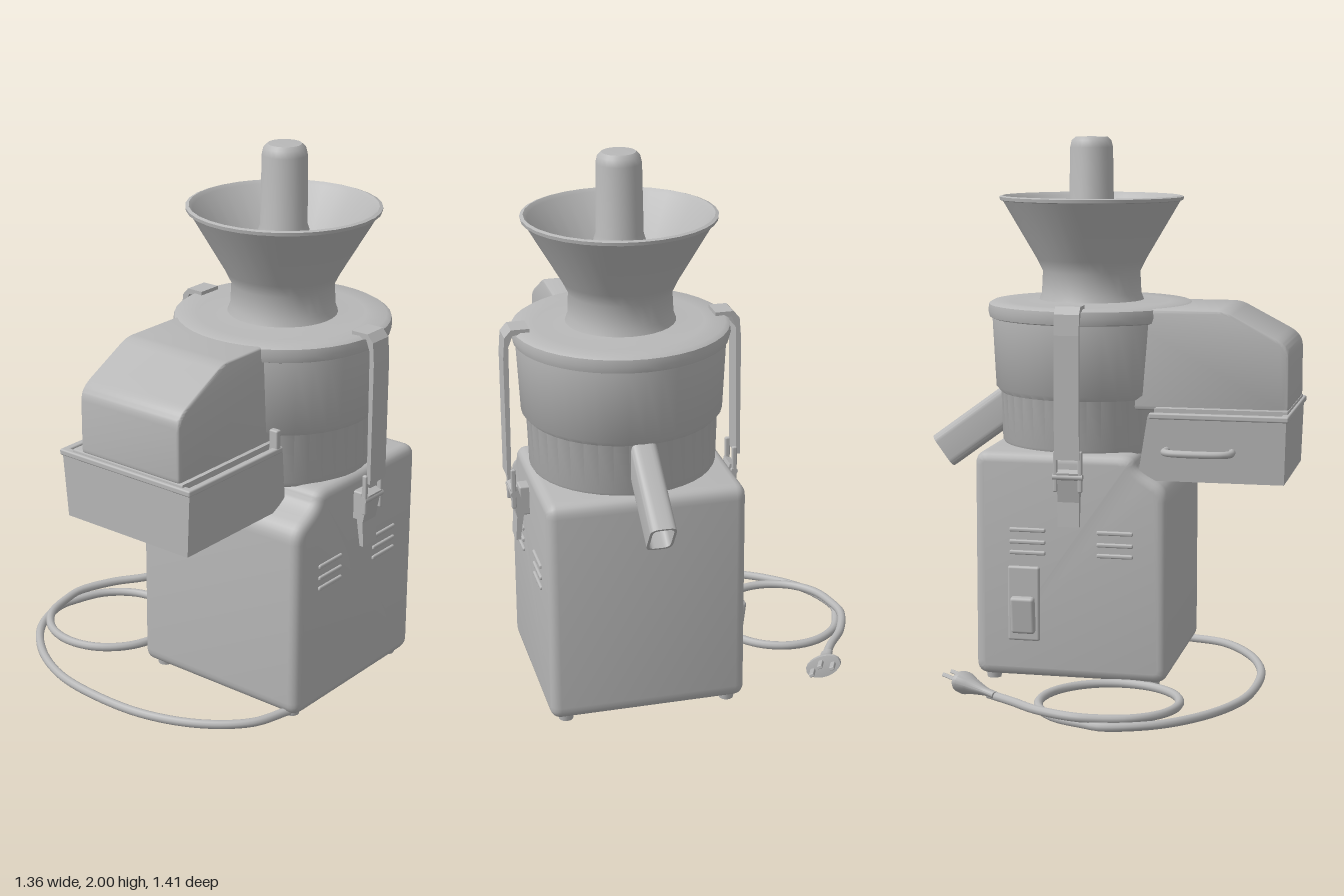
import * as THREE from 'three';
import { toCreasedNormals } from 'three/addons/utils/BufferGeometryUtils.js';
import { RoundedBoxGeometry } from 'three/addons/geometries/RoundedBoxGeometry.js';

const AX = 0.25, AZ = -0.095; // vertical axis of bowl, lid and funnel

export function createModel() {
  const root = new THREE.Group();
  root.name = 'foodProcessor';
  const grey = new THREE.MeshStandardMaterial({ color: 0xb8b8b8, side: THREE.DoubleSide });
  grey.name = 'grey metal';

  const add = (name, geo, pos = [0, 0, 0], parent = root) => {
    const mesh = new THREE.Mesh(geo, grey);
    mesh.name = name;
    mesh.position.set(...pos);
    parent.add(mesh);
    return mesh;
  };
  const box = (name, x0, x1, y0, y1, z0, z1, r = 0.006, parent = root) =>
    add(name, new RoundedBoxGeometry(x1 - x0, y1 - y0, z1 - z0, 2, r),
      [(x0 + x1) / 2, (y0 + y1) / 2, (z0 + z1) / 2], parent);
  const lathe = (name, pts, sides = 40) =>
    add(name, toCreasedNormals(new THREE.LatheGeometry(pts.map(p => new THREE.Vector2(...p)), sides), 0.7), [AX, 0, AZ]);

  // Polygon with rounded corners
  const roundedShape = (pts, r) => {
    const s = new THREE.Shape();
    const v = pts.map(p => new THREE.Vector2(...p)), n = v.length;
    v.forEach((p, i) => {
      const toward = q => p.clone().add(q.clone().sub(p).setLength(Math.min(r, q.distanceTo(p) * 0.45)));
      const a = toward(v[(i + n - 1) % n]), b = toward(v[(i + 1) % n]);
      if (i === 0) s.moveTo(a.x, a.y); else s.lineTo(a.x, a.y);
      s.quadraticCurveTo(p.x, p.y, b.x, b.y);
    });
    s.closePath();
    return s;
  };
  // Side profile given as [z, y], extruded from x0 to x1 with softened edges
  const sideExtrude = (shape, x0, x1, bevel) => {
    const g = new THREE.ExtrudeGeometry(shape, {
      depth: x1 - x0 - 2 * bevel, curveSegments: 6, bevelEnabled: bevel > 0,
      bevelThickness: bevel, bevelSize: bevel, bevelOffset: -bevel, bevelSegments: 4,
    });
    g.rotateY(-Math.PI / 2).translate(x1 - bevel, 0, 0);
    return toCreasedNormals(g, 0.6);
  };

  // Motor housing with sloped front shoulder
  add('motorHousing', sideExtrude(roundedShape(
    [[0.262, 0.02], [0.262, 0.745], [0.15, 0.805], [0.13, 0.86], [-0.457, 0.86], [-0.457, 0.02]], 0.05), -0.115, 0.6, 0.035));
  for (const x of [-0.06, 0.54]) for (const z of [-0.4, 0.2])
    add('foot', new THREE.CylinderGeometry(0.032, 0.026, 0.04, 16), [x, 0.02, z]);

  // Louvres on both flanks
  for (const x of [-0.115, 0.6]) for (const y of [0.49, 0.53, 0.575]) for (const z of [0.07, -0.257])
    box('ventLouvre', x - 0.008, x + 0.008, y - 0.008, y + 0.008, z - 0.068, z + 0.068);

  // Switch on the side
  box('switchPlate', -0.13, -0.11, 0.16, 0.44, -0.33, -0.21, 0.009);
  box('switchBox', -0.155, -0.12, 0.19, 0.33, -0.315, -0.225, 0.012).rotation.z = 0.12;

  // Bowl, lid, funnel and pusher
  lathe('bowl', [[0, 0.85], [0.325, 0.85], [0.336, 0.87], [0.342, 1.05], [0.36, 1.07], [0.373, 1.32], [0.373, 1.345]]);
  lathe('lid', [[0.365, 1.325], [0.383, 1.332], [0.389, 1.355], [0.386, 1.38], [0.37, 1.39], [0.3, 1.387], [0.19, 1.395]]);
  lathe('funnel', [[0.2, 1.385], [0.187, 1.42], [0.183, 1.5], [0.205, 1.545], [0.333, 1.763], [0.343, 1.766],
    [0.345, 1.778], [0.333, 1.782], [0.32, 1.77], [0.19, 1.545], [0.17, 1.5], [0.168, 1.42], [0, 1.42]], 32);
  lathe('pusher', [[0.155, 1.42], [0.155, 1.55], [0.14, 1.6], [0.1, 1.66], [0.084, 1.71], [0.08, 1.96],
    [0.074, 1.985], [0.06, 1.998], [0, 2]], 24);

  // Outlet hood in front
  add('outletHood', sideExtrude(roundedShape(
    [[0.05, 1.015], [0.05, 1.385], [0.45, 1.385], [0.66, 1.275], [0.685, 1.24], [0.685, 1.015]], 0.03), -0.012, 0.424, 0.012));
  add('hoodSkirt', sideExtrude(roundedShape(
    [[0.2, 1.005], [0.2, 1.03], [0.685, 1.03], [0.685, 1.005]], 0.005), -0.05, 0.44, 0));

  // Open catch tray, tapering downwards
  const tray = new THREE.BoxGeometry(0.57, 0.24, 0.5);
  const index = Array.from(tray.index.array);
  tray.setIndex([...index.slice(0, 12), ...index.slice(18)]); // leave the top open
  tray.clearGroups();
  const p = tray.attributes.position;
  for (let i = 0; i < p.count; i++) if (p.getY(i) < 0) {
    p.setX(i, p.getX(i) * 0.945);
    p.setZ(i, p.getZ(i) > 0 ? 0.243 : -0.29);
  }
  tray.computeVertexNormals();
  add('catchTray', tray, [0.186, 0.89, 0.436]);
  box('trayRimFront', -0.105, 0.478, 0.998, 1.02, 0.665, 0.695);
  box('trayRimLeft', 0.452, 0.478, 0.998, 1.02, 0.19, 0.69);
  box('trayRimRight', -0.105, -0.079, 0.998, 1.02, 0.19, 0.69);
  box('trayRimEnd', 0.44, 0.476, 1.0, 1.085, 0.2, 0.225);

  // Side handle of the tray
  const tube = (name, pts, r, segs = 48) => add(name, new THREE.TubeGeometry(
    new THREE.CatmullRomCurve3(pts.map(q => new THREE.Vector3(...q)), false, 'centripetal'), segs, r, 10, false));
  tube('trayHandle', [[-0.09, 0.885, 0.255], [-0.14, 0.885, 0.255], [-0.162, 0.885, 0.285], [-0.162, 0.885, 0.465],
    [-0.14, 0.885, 0.492], [-0.09, 0.885, 0.492]], 0.013);

  // Rear waste spout: hollow sloping channel
  const spout = roundedShape([[-0.047, -0.07], [0.047, -0.07], [0.047, 0.07], [-0.047, 0.07]], 0.03);
  spout.holes.push(roundedShape([[-0.038, -0.061], [0.038, -0.061], [0.038, 0.061], [-0.038, 0.061]], 0.024));
  const spoutMesh = add('wasteSpout', toCreasedNormals(
    new THREE.ExtrudeGeometry(spout, { depth: 0.36, bevelEnabled: false, curveSegments: 5 }), 0.6), [AX, 0.8, -0.672]);
  spoutMesh.rotation.x = -0.63;

  // Latches on both sides of the bowl
  const plate = (name, pts, width, parent) => add(name, new THREE.ExtrudeGeometry(
    new THREE.Shape(pts.map(q => new THREE.Vector2(...q))), { depth: width, bevelEnabled: false }), [0, 0, -width / 2], parent);
  for (const turn of [0, Math.PI]) {
    const latch = new THREE.Group();
    latch.name = turn ? 'rightLatch' : 'leftLatch';
    latch.position.set(AX, 0, AZ);
    latch.rotation.y = turn;
    root.add(latch);
    plate('strap', [[0.335, 1.38], [0.335, 1.402], [0.4, 1.402], [0.424, 1.375], [0.43, 1.3], [0.43, 0.85],
      [0.415, 0.85], [0.411, 1.34], [0.395, 1.382]], 0.092, latch);
    plate('lever', [[0.42, 0.8], [0.395, 0.81], [0.37, 0.72], [0.388, 0.6], [0.404, 0.6], [0.398, 0.69]], 0.08, latch);
    box('latchBracket', 0.34, 0.385, 0.69, 0.8, -0.03, 0.03, 0.006, latch);
    for (const z of [-0.046, 0.046])
      box('latchLink', 0.4, 0.418, 0.73, 0.88, z - 0.008, z + 0.008, 0.005, latch);
    const pin = add('latchPin', new THREE.CylinderGeometry(0.013, 0.013, 0.11, 12), [0.408, 0.785, 0], latch);
    pin.rotation.x = Math.PI / 2;
  }

  // Power cable with one coil on the floor
  const path = [[0.55, 0.025, 0.23], [0.5, 0.025, 0.38], [0.36, 0.022, 0.5], [0.15, 0.02, 0.575], [-0.1, 0.02, 0.583],
    [-0.28, 0.02, 0.55], [-0.46, 0.02, 0.455], [-0.6, 0.02, 0.31], [-0.66, 0.02, 0.14]];
  for (let i = 0; i <= 12; i++) {
    const a = Math.PI * (1.05 + i / 6.2);
    path.push([-0.41 + 0.238 * Math.cos(a), 0.022 + 0.022 * i / 12, 0.11 + 0.25 * Math.sin(a)]);
  }
  path.push([-0.652, 0.047, 0.03], [-0.6, 0.048, -0.11], [-0.53, 0.05, -0.21], [-0.475, 0.055, -0.31]);
  tube('powerCable', path, 0.016, 160);

  // Plug with prongs, pointing away along its own +y
  const plug = new THREE.Group();
  plug.name = 'plug';
  plug.position.set(-0.49, 0.055, -0.28);
  plug.quaternion.setFromUnitVectors(new THREE.Vector3(0, 1, 0), new THREE.Vector3(0.4, 0.16, -0.9).normalize());
  root.add(plug);
  const grip = new THREE.LatheGeometry([[0, 0], [0.024, 0], [0.024, 0.04], [0.03, 0.06], [0.05, 0.11], [0.068, 0.14],
    [0.066, 0.155], [0, 0.16]].map(q => new THREE.Vector2(...q)), 20);
  add('plugGrip', toCreasedNormals(grip.scale(1, 1, 0.6), 0.7), [0, 0, 0], plug);
  for (const [x, z] of [[-0.04, 0], [0.04, 0], [0, 0.02]])
    box('prong', x - 0.009, x + 0.009, 0.15, 0.215, z - 0.007, z + 0.007, 0.003, plug);

  return root;
}
